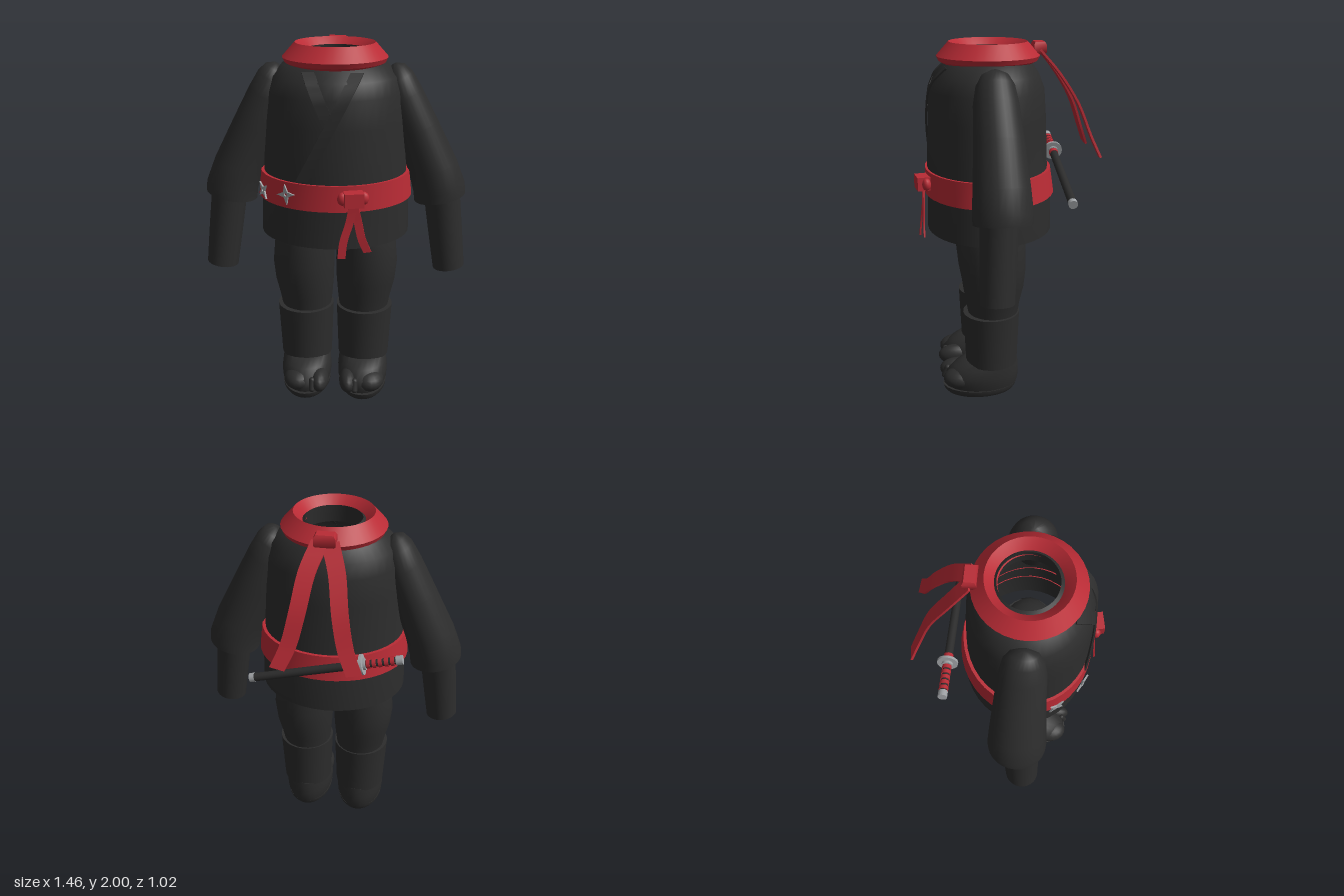
import * as THREE from 'three';
import { toCreasedNormals } from 'three/addons/utils/BufferGeometryUtils.js';

const V = (x, y, z) => new THREE.Vector3(x, y, z);
const paint = (name, color) => {
  const m = new THREE.MeshStandardMaterial({ color, side: THREE.DoubleSide });
  m.name = name;
  return m;
};

// Elliptical ring, tilted about z
function oval(x, y, z, rx, rz, tilt = 0, n = 28) {
  return Array.from({ length: n }, (_, j) => {
    const t = (j / n) * Math.PI * 2, u = rx * Math.cos(t);
    return V(x + u * Math.cos(tilt), y + u * Math.sin(tilt), z + rz * Math.sin(t));
  });
}

// Surface through a list of rings, running bottom to top
function skin(rings, capped = true, crease = 0.7) {
  const n = rings[0].length, last = rings.length - 1, pos = [], idx = [];
  rings.flat().forEach((p) => pos.push(p.x, p.y, p.z));
  for (let i = 0; i < last; i++) {
    for (let j = 0; j < n; j++) {
      const a = i * n + j, b = i * n + ((j + 1) % n);
      idx.push(a, a + n, b, b, a + n, b + n);
    }
  }
  if (capped) {
    [0, last].forEach((i) => {
      const c = rings[i].reduce((s, p) => s.add(p), V(0, 0, 0)).divideScalar(n);
      const k = pos.length / 3;
      pos.push(c.x, c.y, c.z);
      for (let j = 0; j < n; j++) {
        const a = i * n + j, b = i * n + ((j + 1) % n);
        idx.push(k, i ? b : a, i ? a : b);
      }
    });
  }
  const g = new THREE.BufferGeometry();
  g.setAttribute('position', new THREE.Float32BufferAttribute(pos, 3));
  g.setIndex(idx);
  return toCreasedNormals(g, crease);
}

// Thin strip along a smooth path; half width eases from w0 to w1
function ribbon(points, dir, w0, w1, thick, steps = 10) {
  const curve = new THREE.CatmullRomCurve3(points.map((p) => V(...p)));
  const rings = [];
  for (let i = 0; i <= steps; i++) {
    const t = i / steps, p = curve.getPoint(t);
    const w = V(...dir).normalize();
    const n = w.clone().cross(curve.getTangent(t)).normalize().multiplyScalar(thick / 2);
    w.multiplyScalar(w0 + (w1 - w0) * t);
    rings.push([[1, 1], [-1, 1], [-1, -1], [1, -1]].map(([a, b]) =>
      p.clone().addScaledVector(w, a).addScaledVector(n, b)));
  }
  return skin(rings);
}

// Jacket sections: y, rx, rz, z centre
const JACKET = [
  [0.97, 0.41, 0.35, 0.09], [1.18, 0.405, 0.345, 0.09], [1.32, 0.39, 0.335, 0.1],
  [1.6, 0.375, 0.325, 0.1], [1.75, 0.36, 0.315, 0.1], [1.83, 0.335, 0.285, 0.1],
  [1.89, 0.28, 0.235, 0.09], [1.925, 0.2, 0.2, 0.085], [1.965, 0.15, 0.15, 0.085], [1.87, 0.155, 0.155, 0.085],
];
function jacketFront(x, y) {
  let i = 0;
  while (i < 5 && JACKET[i + 1][0] < y) i++;
  const a = JACKET[i], b = JACKET[i + 1], t = (y - a[0]) / (b[0] - a[0]);
  const [rx, rz, cz] = [1, 2, 3].map((k) => a[k] + (b[k] - a[k]) * t);
  return cz + rz * Math.sqrt(Math.max(0, 1 - (x / rx) ** 2));
}

export function createModel() {
  const model = new THREE.Group();
  const black = paint('black cloth', 0x2c2c2c);
  const red = paint('red cloth', 0xb92b35);
  const steel = paint('steel', 0xa0a3a6);
  const add = (name, geo, mat, parent = model) => {
    const m = new THREE.Mesh(geo, mat);
    m.name = name;
    parent.add(m);
    return m;
  };

  // Jacket, open at neck and hem
  add('jacket', skin(JACKET.map(([y, rx, rz, z]) => oval(0, y, z, rx, rz, 0, 40)), false, 0.9), black);

  // Crossed lapels lying on the jacket front
  const lapel = (name, x0, y0, x1, y1, lift) => {
    const pts = [];
    for (let i = 0; i <= 8; i++) {
      const x = x0 + ((x1 - x0) * i) / 8, y = y0 + ((y1 - y0) * i) / 8;
      pts.push([x, y, jacketFront(x, y) + lift]);
    }
    add(name, ribbon(pts, [1, 0, 0], 0.033, 0.033, 0.009, 16), black);
  };
  lapel('rightLapel', -0.125, 1.875, -0.03, 1.66, 0.003);
  lapel('leftLapel', 0.12, 1.875, -0.16, 1.33, 0.007);

  // Neck scarf ring
  const scarf = new THREE.LatheGeometry([[0.15, 1.935], [0.165, 1.955], [0.213, 2.0], [0.28, 1.925],
    [0.268, 1.9], [0.24, 1.885], [0.18, 1.9], [0.15, 1.935]].map((p) => new THREE.Vector2(...p)), 36);
  add('scarf', toCreasedNormals(scarf, 0.5), red).position.z = 0.09;

  // Scarf knot and two flowing tails
  add('scarfKnot', skin([[1.928, 0.045, 0.026], [1.94, 0.055, 0.034], [1.98, 0.055, 0.034], [1.995, 0.045, 0.026]]
    .map(([y, a, b]) => [V(a, y, -0.187 - b), V(a, y, -0.187 + b), V(-a, y, -0.187 + b), V(-a, y, -0.187 - b)])), red);
  for (const s of [-1, 1]) {
    add('scarfTail', ribbon([[s * 0.025, 1.95, -0.19], [s * 0.075, 1.83, -0.29], [s * 0.105, 1.67, -0.39],
      [s * 0.145, 1.5, -0.455], [s * 0.195, 1.39, -0.5]], [s, 0.15, 0.12], 0.045, 0.04, 0.012, 16), red);
  }

  // Belt with knot and hanging ends
  add('belt', skin([[1.18, 0.40, 0.34, 0.09], [1.18, 0.422, 0.362, 0.09], [1.32, 0.407, 0.35, 0.098], [1.32, 0.385, 0.33, 0.098]]
    .map(([y, rx, rz, z]) => oval(0, y, z, rx, rz, 0, 40)), false), red);
  const knot = new THREE.Group();
  knot.name = 'beltKnot';
  knot.position.set(0.11, 1.26, 0.467);
  knot.rotation.y = 0.18;
  model.add(knot);
  add('knotCentre', new THREE.BoxGeometry(0.1, 0.075, 0.07), red, knot);
  for (const s of [-1, 1]) {
    const loop = add('knotLoop', new THREE.SphereGeometry(0.035, 12, 8), red, knot);
    loop.position.set(s * 0.055, 0, -0.012);
    loop.scale.set(0.8, 1, 0.7);
  }
  add('beltEnd', ribbon([[0.11, 1.23, 0.465], [0.09, 1.13, 0.468], [0.06, 1.03, 0.478], [0.05, 0.94, 0.487]], [1, 0, 0], 0.022, 0.021, 0.009), red);
  add('beltEnd', ribbon([[0.11, 1.23, 0.46], [0.135, 1.13, 0.462], [0.155, 1.04, 0.466], [0.185, 0.97, 0.466]], [1, 0.15, 0], 0.022, 0.021, 0.009), red);

  // Throwing stars tucked on the belt
  const star = new THREE.Shape();
  for (let i = 0; i < 8; i++) {
    const r = i % 2 ? 0.019 : 0.055, a = (i * Math.PI) / 4;
    star[i ? 'lineTo' : 'moveTo'](r * Math.cos(a), r * Math.sin(a));
  }
  star.holes.push(new THREE.Path().absarc(0, 0, 0.008, 0, Math.PI * 2, true));
  const starGeo = new THREE.ExtrudeGeometry(star, { depth: 0.009, bevelEnabled: false });
  for (const [x, y, z, turn, roll] of [[-0.24, 1.26, 0.402, -0.5, 0.12], [-0.373, 1.24, 0.275, -1.0, 0.75]]) {
    const m = add('throwingStar', starGeo, steel);
    m.position.set(x, y, z);
    m.rotation.set(0, turn, roll);
  }

  // Hips hidden under the jacket
  const hips = add('hips', new THREE.SphereGeometry(1, 24, 14), black);
  hips.scale.set(0.31, 0.13, 0.19);
  hips.position.set(0, 1.08, 0.09);

  for (const s of [-1, 1]) {
    const side = new THREE.Group();
    side.name = s > 0 ? 'leftLimbs' : 'rightLimbs';
    model.add(side);
    const loft = (name, sections) =>
      add(name, skin(sections.map(([x, y, z, rx, rz, tilt = 0]) => oval(s * x, y, z, rx, rz, s * tilt))), black, side);

    // Wide sleeve and forearm
    loft('sleeve', [
      [0.585, 1.19, 0.085, 0.1, 0.11, 0.2], [0.58, 1.16, 0.083, 0.143, 0.153, 0.2], [0.575, 1.21, 0.083, 0.143, 0.155, 0.23],
      [0.535, 1.33, 0.083, 0.135, 0.147, 0.3], [0.44, 1.55, 0.085, 0.118, 0.13, 0.38], [0.365, 1.72, 0.09, 0.105, 0.118, 0.45],
      [0.33, 1.81, 0.09, 0.088, 0.1, 0.5], [0.315, 1.86, 0.09, 0.058, 0.07, 0.5], [0.31, 1.885, 0.09, 0.015, 0.02, 0.5],
    ]);
    loft('forearm', [[0.645, 0.755, 0.12, 0.088, 0.09, 0.16], [0.62, 0.95, 0.112, 0.094, 0.095, 0.16], [0.585, 1.22, 0.1, 0.1, 0.1, 0.16]]);

    // Baggy trouser leg
    loft('trouserLeg', [
      [0.165, 0.48, 0.09, 0.14, 0.14], [0.168, 0.56, 0.09, 0.152, 0.152], [0.176, 0.66, 0.088, 0.168, 0.172],
      [0.18, 0.77, 0.088, 0.175, 0.183], [0.176, 0.89, 0.088, 0.168, 0.182], [0.17, 1.0, 0.088, 0.158, 0.178], [0.16, 1.12, 0.088, 0.13, 0.14],
    ]);

    // Shin wrap
    loft('shinWrap', [[0.167, 0.19, 0.1, 0.13, 0.13], [0.167, 0.185, 0.1, 0.147, 0.148], [0.17, 0.5, 0.1, 0.161, 0.161], [0.17, 0.5, 0.1, 0.14, 0.14]]);

    // Sole, foot and split toes
    loft('sole', [[0.165, 0.005, 0.17, 0.125, 0.195], [0.165, 0.025, 0.17, 0.138, 0.21], [0.165, 0.045, 0.17, 0.14, 0.215]]);
    loft('foot', [
      [0.165, 0.03, 0.16, 0.13, 0.2], [0.165, 0.075, 0.16, 0.143, 0.215], [0.165, 0.12, 0.155, 0.145, 0.21],
      [0.165, 0.165, 0.13, 0.14, 0.185], [0.165, 0.2, 0.1, 0.13, 0.15],
    ]);
    for (const [name, x, z, rx, rz] of [['bigToe', 0.083, 0.295, 0.052, 0.105], ['outerToes', 0.205, 0.28, 0.085, 0.105]]) {
      const toe = add(name, new THREE.SphereGeometry(1, 18, 12), black, side);
      toe.scale.set(rx, 0.062, rz);
      toe.position.set(s * x, 0.095, z);
    }
    const thong = add('sandalThong', new THREE.CapsuleGeometry(0.018, 0.05, 4, 10), black, side);
    thong.position.set(s * 0.122, 0.095, 0.365);
    thong.rotation.x = -0.35;
  }

  // Sheathed sword slung across the back, built along its own y axis
  const sword = new THREE.Group();
  sword.name = 'sword';
  const from = V(-0.42, 1.39, -0.315), to = V(0.39, 1.185, -0.315);
  sword.position.copy(from);
  sword.quaternion.setFromUnitVectors(V(0, 1, 0), to.clone().sub(from).normalize());
  model.add(sword);
  const rod = (name, y0, y1, r, mat) => {
    add(name, new THREE.CylinderGeometry(r, r, y1 - y0, 16), mat, sword).position.y = (y0 + y1) / 2;
  };
  rod('pommel', 0, 0.035, 0.025, steel);
  rod('grip', 0.03, 0.2, 0.02, black);
  for (let i = 0; i < 5; i++) rod('gripWrap', 0.043 + i * 0.032, 0.063 + i * 0.032, 0.025, red);
  rod('guardCollar', 0.195, 0.235, 0.03, steel);
  rod('guard', 0.208, 0.222, 0.056, steel);
  rod('scabbardMouth', 0.235, 0.262, 0.026, red);
  rod('scabbard', 0.26, 0.812, 0.023, black);
  rod('scabbardTip', 0.808, 0.836, 0.025, steel);
  return model;
}
